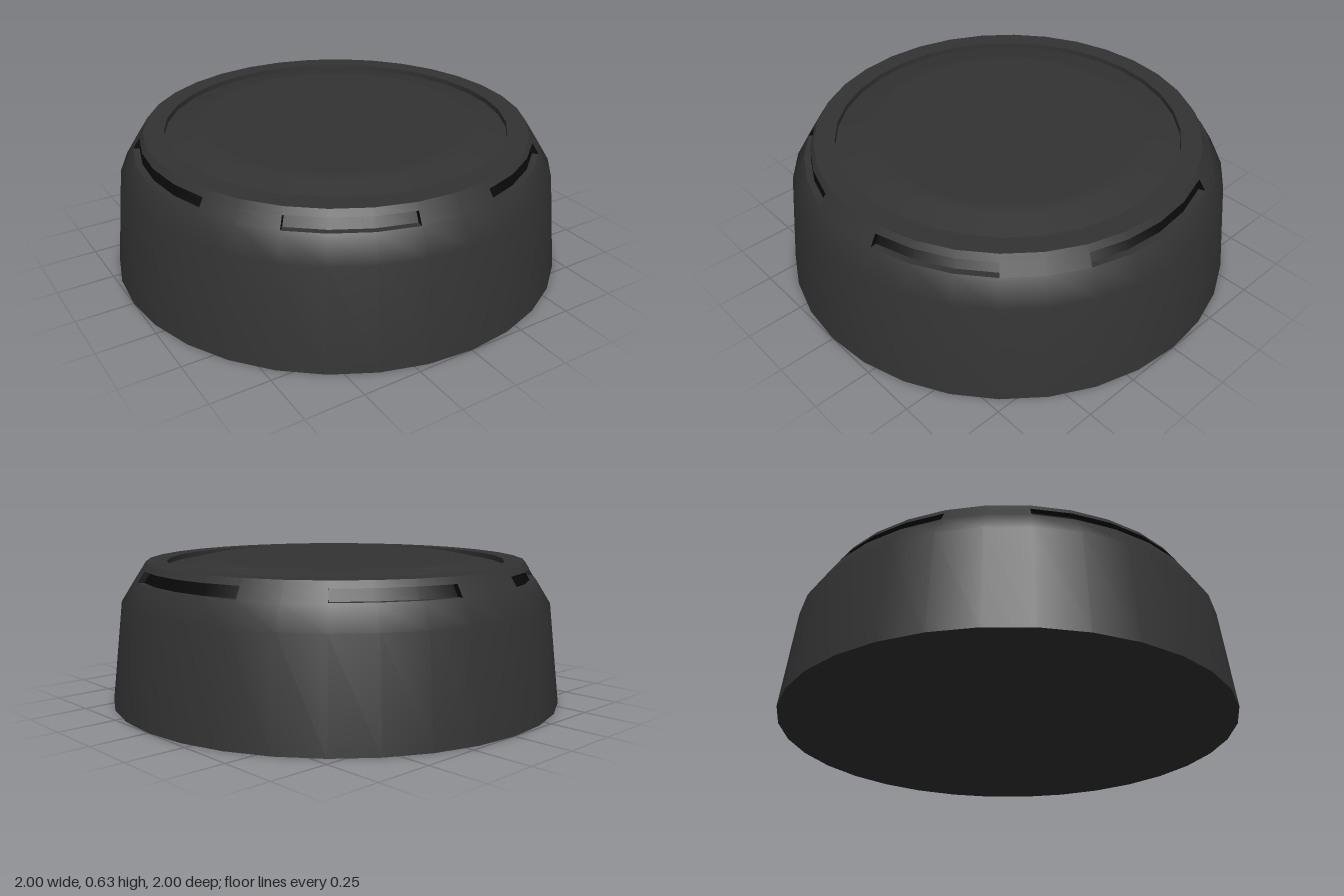
import * as THREE from 'three';

const SIDES = 32;
const STEP = (Math.PI * 2) / SIDES;
const dark = new THREE.MeshStandardMaterial({ color: 0x333333 });
const black = new THREE.MeshStandardMaterial({ color: 0x080808, side: THREE.DoubleSide });

// Revolved profile of [radius, y] points, optionally over part of the circle
function ring(name, profile, material = dark, first = 0, count = SIDES) {
  const points = profile.map(([r, y]) => new THREE.Vector2(r, y));
  const mesh = new THREE.Mesh(new THREE.LatheGeometry(points, count, first * STEP, count * STEP), material);
  mesh.name = name;
  return mesh;
}

// Small upright wall closing the end of a slot
function slotEnd(corners, index) {
  const shape = new THREE.Shape(corners.map(([r, y]) => new THREE.Vector2(r, y)));
  const mesh = new THREE.Mesh(new THREE.ShapeGeometry(shape), black);
  mesh.rotation.y = index * STEP - Math.PI / 2;
  mesh.name = 'slotEnd';
  return mesh;
}

export function createModel() {
  const model = new THREE.Group();
  model.name = 'roundCap';

  // Outer surface and recess corners at the slot's lower and upper edges
  const low = [0.888, 0.54], high = [0.857, 0.588];
  const lowIn = [0.86, 0.54], highIn = [0.828, 0.588];

  // Tapered shell with a sloped shoulder, and flat underside
  model.add(ring('shell', [[1, 0], [0.95, 0.44], low]));
  model.add(ring('underside', [[0, 0], [1, 0]]));

  // Recessed wall behind the slots, with ledges below and above
  model.add(ring('slotBack', [lowIn, highIn], black));
  model.add(ring('slotFloor', [low, lowIn]));
  model.add(ring('slotCeiling', [highIn, high], black));

  // Six ribs separate the slots
  const ribs = new THREE.Group();
  ribs.name = 'slotRibs';
  for (const first of [4, 10, 15, 20, 26, 31]) {
    ribs.add(ring('rib', [low, high], dark, first, 2));
    for (const i of [first, first + 2]) ribs.add(slotEnd([lowIn, low, high, highIn], i));
  }
  model.add(ribs);

  // Lip over the slots, flat rim and the groove wall inside it
  model.add(ring('lip', [high, [0.84, 0.615]]));
  model.add(ring('rim', [[0.84, 0.615], [0.75, 0.615]]));
  model.add(ring('grooveWall', [[0.75, 0.615], [0.75, 0.592]]));

  // Slightly domed top panel
  model.add(ring('topPanel', [[0.75, 0.592], [0.62, 0.618], [0.57, 0.629], [0, 0.629]]));

  return model;
}
